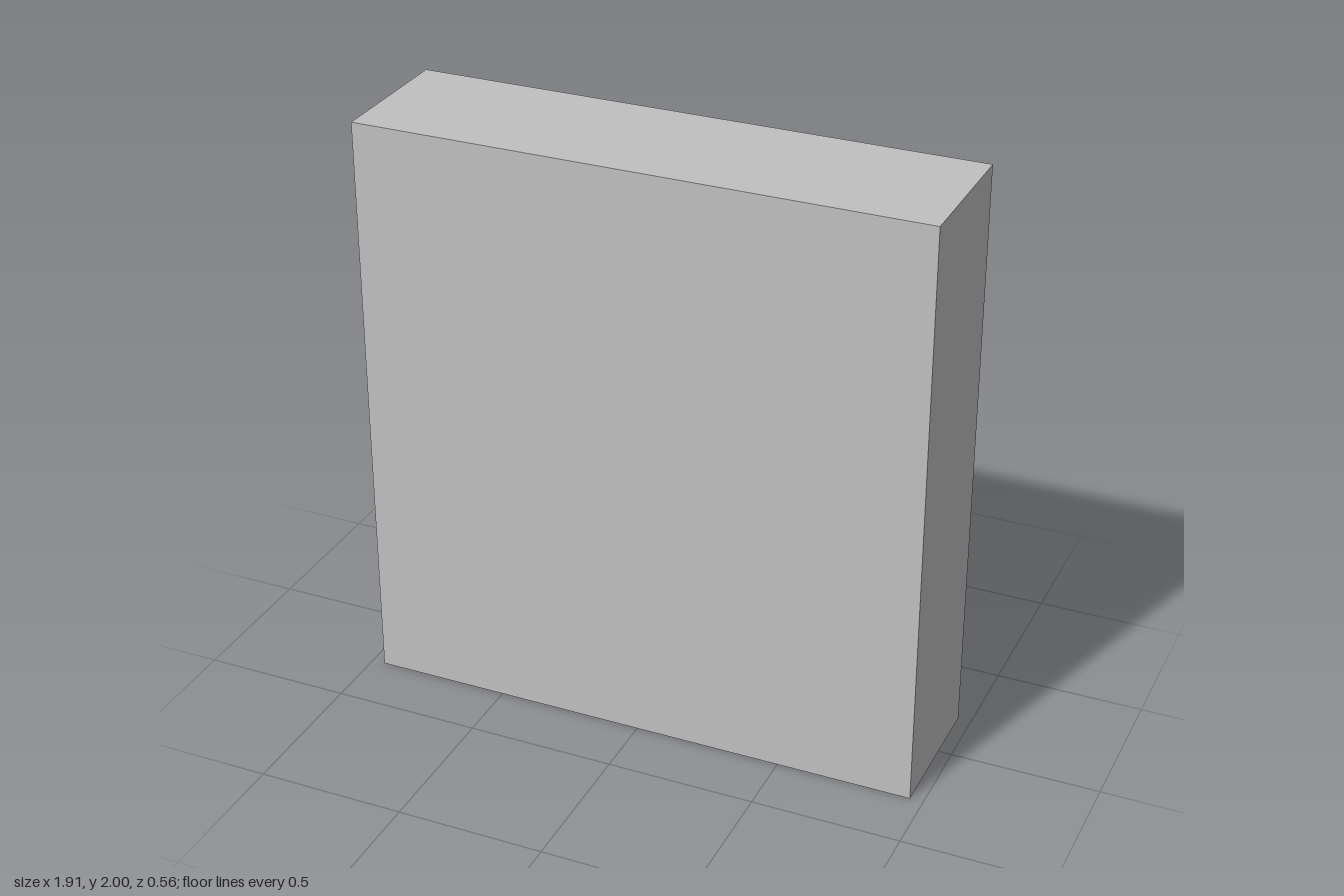
import * as THREE from 'three';

const W = 1.91, H = 2, CELL_W = 0.56, CELL_H = 0.59, GAP = 0.065, EDGE = 0.05;
const BACK = -0.205, FRONT = 0.28, PANEL = 0.05;
const BIN_W = 0.52, BIN_H = 0.522, BIN_D = 0.48, WALL = 0.017;

const mat = (name, color, side = THREE.FrontSide) =>
  Object.assign(new THREE.MeshStandardMaterial({ color, side }), { name });

// Rectangle outline, usable as a shape or a hole
function rect(x, y, w, h, Type = THREE.Shape) {
  return new Type([[x, y], [x + w, y], [x + w, y + h], [x, y + h]].map(p => new THREE.Vector2(...p)));
}

// Flat outline in x/z, raised upwards by the given height
function raise(shape, depth) {
  return new THREE.ExtrudeGeometry(shape, { depth, bevelEnabled: false, curveSegments: 8 }).rotateX(-Math.PI / 2);
}

export function createModel() {
  const grey = mat('shelf grey', 0xc0c0c0);
  const teal = mat('bin teal', 0x5c7378);
  const dark = mat('dark cloth', 0x373737);
  const light = mat('light cloth', 0xc4c4c4);
  const model = new THREE.Group();
  model.name = 'cubeShelf';

  const add = (parent, name, geometry, material, x = 0, y = 0, z = 0) => {
    const mesh = new THREE.Mesh(geometry, material);
    mesh.name = name;
    mesh.position.set(x, y, z);
    parent.add(mesh);
    return mesh;
  };
  const cellX = c => (c - 1) * (CELL_W + GAP);
  const cellY = r => EDGE + r * (CELL_H + GAP);

  // Frame with a three by three grid of openings
  const frame = rect(-W / 2, 0, W, H);
  for (let r = 0; r < 3; r++) {
    for (let c = 0; c < 3; c++) {
      frame.holes.push(rect(cellX(c) - CELL_W / 2, cellY(r), CELL_W, CELL_H, THREE.Path));
    }
  }
  const frameDepth = FRONT - PANEL - BACK;
  add(model, 'shelfFrame', new THREE.ExtrudeGeometry(frame, { depth: frameDepth, bevelEnabled: false }), grey, 0, 0, BACK);

  // Closing panel
  add(model, 'shelfPanel', new THREE.BoxGeometry(W, H, PANEL), grey, 0, H / 2, FRONT - PANEL / 2);

  // Bin parts
  const inW = BIN_W - 2 * WALL, inD = BIN_D - 2 * WALL;
  const ring = rect(-BIN_W / 2, -BIN_D / 2, BIN_W, BIN_D);
  ring.holes.push(rect(-inW / 2, -inD / 2, inW, inD, THREE.Path));
  const wallGeo = raise(ring, BIN_H);
  const floorGeo = new THREE.BoxGeometry(inW, WALL, inD);
  const fillGeo = new THREE.BoxGeometry(inW, 0.02, inD);

  // Light cloth with a ragged edge, and small patches; mirrored for variety
  const cloth = s => new THREE.Shape([
    [-0.24, -0.22], [0.24, -0.22], [0.24, 0.04], [0.2, 0.09], [0.13, 0.1], [0.1, 0.15], [0.03, 0.155],
    [-0.05, 0.165], [-0.14, 0.16], [-0.18, 0.17], [-0.19, 0.2], [-0.21, 0.2], [-0.24, 0.17],
  ].map(([x, y]) => new THREE.Vector2(s * x, y)));
  const spotShape = new THREE.Shape().absellipse(0, 0, 0.018, 0.014, 0, Math.PI * 2);
  const spotGeo = raise(spotShape, 0.003);

  function addBin(col, row, s) {
    const bin = new THREE.Group();
    bin.name = 'storageBin';
    bin.position.set(cellX(col), cellY(row) + 0.01, -0.28 + BIN_D / 2);
    add(bin, 'binWalls', wallGeo, teal);
    add(bin, 'binFloor', floorGeo, teal, 0, WALL / 2, 0);
    const top = BIN_H - 0.04;
    add(bin, 'darkCloth', fillGeo, dark, 0, top - 0.01, 0);
    add(bin, 'lightCloth', raise(cloth(s), 0.004), light, 0, top, 0);
    for (const [x, z] of [[-0.02, -0.1], [-0.16, -0.06]]) {
      add(bin, 'tealPatch', spotGeo, teal, s * x, top + 0.003, z);
    }
    model.add(bin);
  }

  [[0, 0, -1], [1, 0, 1], [2, 0, 1], [0, 1, 1], [2, 1, -1]].forEach(b => addBin(...b));
  return model;
}
